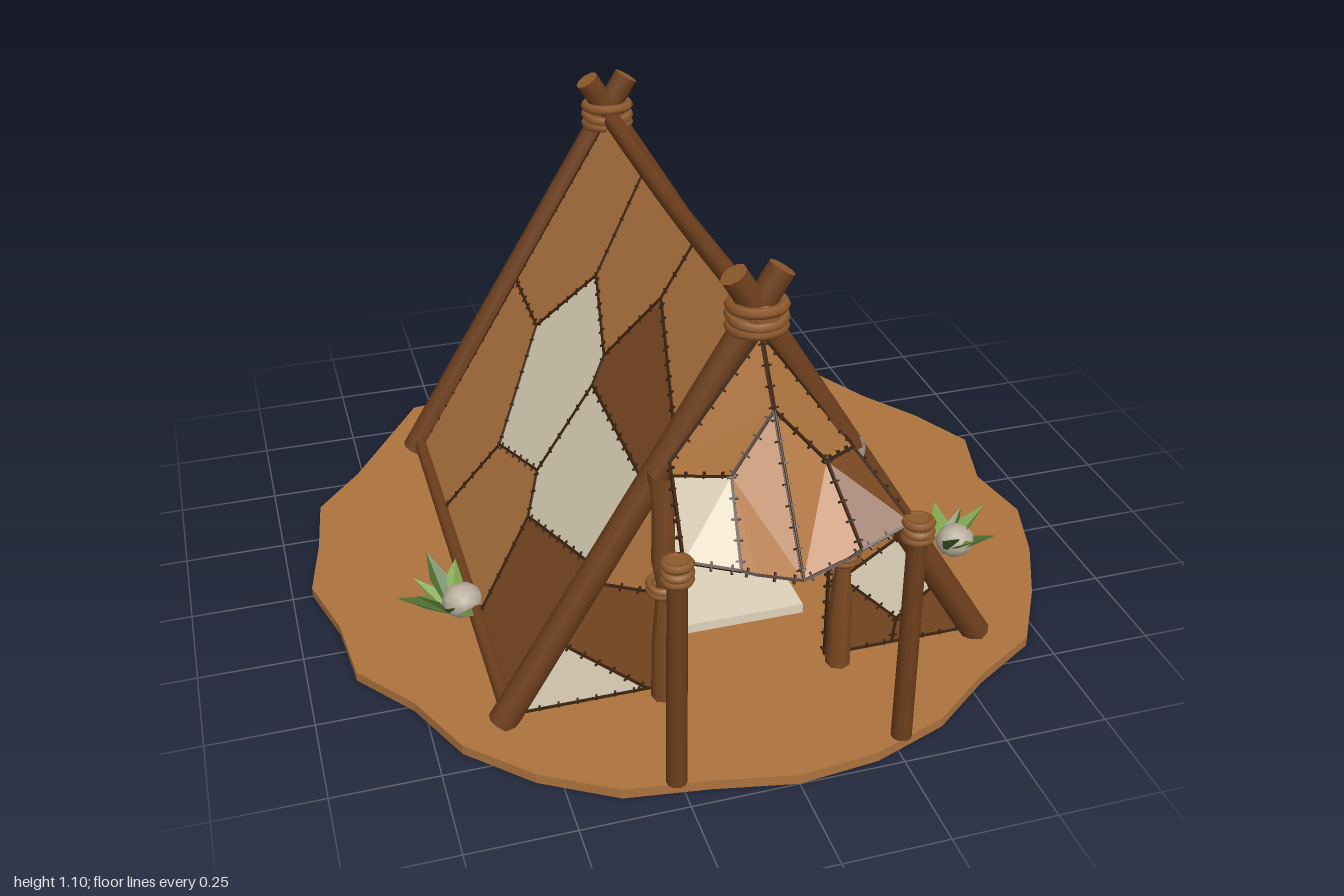
import * as THREE from 'three';
import { mergeGeometries } from 'three/addons/utils/BufferGeometryUtils.js';

const V = (x, y, z) => new THREE.Vector3(x, y, z);
const P = (x, y) => new THREE.Vector2(x, y);
const mat = (name, color, side = THREE.FrontSide) => {
  const m = new THREE.MeshStandardMaterial({ color, side });
  m.name = name;
  return m;
};

// Part of a convex outline that lies nearer to seed than to other
const clip = (outline, seed, other) => {
  const n = other.clone().sub(seed), mid = other.clone().lerp(seed, 0.5);
  const dist = p => p.clone().sub(mid).dot(n);
  const out = [];
  outline.forEach((a, i) => {
    const b = outline[(i + 1) % outline.length], da = dist(a), db = dist(b);
    if (da <= 0) out.push(a);
    if (da * db < 0) out.push(a.clone().lerp(b, da / (da - db)));
  });
  return out;
};

export function createModel() {
  const root = new THREE.Group();
  root.name = 'hideTent';
  const D = THREE.DoubleSide;
  const earth = mat('earth', 0xad733e), cream = mat('creamHide', 0xdfd3ba, D), tan = mat('tanHide', 0xb07540, D);
  const dark = mat('darkHide', 0x7c4a23, D), wood = mat('wood', 0x6e3f1d), rope = mat('rope', 0x8f5a2c);
  const thread = mat('seamThread', 0x3c2411), leafA = mat('leafGreen', 0x7aa045, D);
  const leafB = mat('leafDarkGreen', 0x4f7030, D), stone = mat('stone', 0xb8ad9c, D);

  const add = (name, geo, material, parent = root) => {
    const m = new THREE.Mesh(geo, material);
    m.name = name;
    parent.add(m);
    return m;
  };

  // Pole between two points, with paler cut ends
  const pole = (name, a, b, r) => {
    const m = add(name, new THREE.CylinderGeometry(r * 0.94, r * 1.04, a.distanceTo(b), 10), [wood, rope, rope]);
    m.position.copy(a).lerp(b, 0.5);
    m.quaternion.setFromUnitVectors(V(0, 1, 0), b.clone().sub(a).normalize());
  };

  // Stack of rope rings around a vertical axis
  const lashing = (name, x, y, z, r, count, tube) => {
    const rings = [];
    for (let i = 0; i < count; i++) {
      const g = new THREE.TorusGeometry(r, tube, 6, 18).rotateX(Math.PI / 2 + (i % 2 ? 0.08 : -0.08));
      rings.push(g.translate(x, y + i * tube * 1.9, z));
    }
    add(name, mergeGeometries(rings), rope);
  };

  // Sewn hide: the outline is divided into one patch around each seed, with stitched seams between
  const hide = (name, outline, seeds, map) => {
    const g = new THREE.Group();
    g.name = name;
    root.add(g);
    const seams = [], seen = new Set();
    const strip = (p, dir, n, len, w) => {
      const basis = new THREE.Matrix4().makeBasis(dir, n.clone().cross(dir).normalize(), n).setPosition(p);
      seams.push(new THREE.BoxGeometry(len, w, 0.008).applyMatrix4(basis));
    };
    seeds.forEach(([material, u, v], k) => {
      let cell = outline;
      seeds.forEach((o, j) => { if (j !== k) cell = clip(cell, P(u, v), P(o[1], o[2])); });
      const geo = new THREE.ShapeGeometry(new THREE.Shape(cell));
      const pos = geo.attributes.position;
      for (let i = 0; i < pos.count; i++) pos.setXYZ(i, ...map(pos.getX(i), pos.getY(i)).toArray());
      const flat = geo.toNonIndexed();
      flat.computeVertexNormals();
      add(name + 'Patch', flat, material, g);
      const normal = V().fromBufferAttribute(flat.attributes.normal, 0);
      cell.forEach((p, i) => {
        const q = cell[(i + 1) % cell.length];
        const key = [p, q].map(c => c.x.toFixed(3) + ',' + c.y.toFixed(3)).sort().join('|');
        const a = map(p.x, p.y), b = map(q.x, q.y), len = a.distanceTo(b);
        if (seen.has(key) || len < 0.002) return;
        seen.add(key);
        const dir = b.clone().sub(a).normalize();
        const n = normal.clone().addScaledVector(dir, -normal.dot(dir)).normalize();
        const across = n.clone().cross(dir).normalize();
        strip(a.clone().lerp(b, 0.5), dir, n, len, 0.006);
        for (let s = 0.02; s < len; s += 0.045) strip(a.clone().addScaledVector(dir, s), across, n, 0.02, 0.004);
      });
    });
    add(name + 'Seams', mergeGeometries(seams), thread, g);
  };

  // Ground slab with an uneven rim
  const radii = [1.02, .96, 1.01, .95, .93, .96, .92, .94, .97, .9, .95, .95, .96, .99, .96, .99,
    1, 1, .98, 1.01, 1, .98, .93, .96, .92, .95, .93, .96, .92, .94, 1, .93];
  const rim = radii.map((r, i) => {
    const a = (i - 1) * Math.PI / 16;
    return P(r * Math.sin(a), r * Math.cos(a));
  });
  add('ground', new THREE.ExtrudeGeometry(new THREE.Shape(rim), { depth: 0.025, bevelEnabled: false }).rotateX(-Math.PI / 2), earth);

  // Crossed end poles and their lashings
  for (const z of [0.64, -0.6]) {
    for (const s of [-1, 1]) pole('endPole', V(s * 0.59, 0.025, z), V(-s * 0.055, 1.085, z + s * 0.003), 0.034);
    lashing('ridgeLashing', 0, 0.96, z, 0.058, 3, 0.013);
  }

  // Ridge pole, slightly sagging, with end caps
  const ridge = new THREE.CatmullRomCurve3([V(0, 0.995, 0.7), V(0, 0.975, 0), V(0, 0.985, -0.67)]);
  add('ridgePole', new THREE.TubeGeometry(ridge, 20, 0.024, 8), wood);
  for (const [y, z, turn] of [[0.995, 0.7, 0], [0.985, -0.67, Math.PI]]) {
    add('ridgeEnd', new THREE.CircleGeometry(0.024, 8).rotateY(turn).translate(0, y, z), rope);
    add('ridgeEndRing', new THREE.TorusGeometry(0.025, 0.008, 6, 14).translate(0, y, z - Math.sign(z) * 0.01), rope);
  }
  for (const s of [-1, 1]) pole('bottomRail', V(s * 0.575, 0.05, 0.64), V(s * 0.575, 0.05, -0.6), 0.018);

  // Sloping side hides, laid out as (z, y)
  const side = [P(.61, .05), P(.61, .98), P(-.57, .98), P(-.57, .05)];
  const slope = s => (z, y) => V(s * 0.58 * (0.99 - y) / 0.96, y, z);
  hide('plusSideHide', side, [
    [tan, .4, .85], [tan, 0, .84], [dark, -.38, .87], [cream, .42, .58], [cream, -.03, .6], [cream, .02, .43],
    [cream, -.43, .61], [dark, .39, .33], [tan, -.36, .37], [tan, .02, .2], [cream, .36, .12], [cream, -.38, .13],
  ], slope(1));
  hide('minusSideHide', side, [
    [tan, -.37, .3], [tan, -.36, .76], [tan, .05, .87], [cream, -.06, .52], [tan, .05, .12],
    [cream, .36, .48], [dark, .36, .7], [tan, .42, .87], [dark, .44, .19],
  ], slope(-1));

  // Back wall
  hide('backHide', [P(-.565, .03), P(.565, .03), P(0, .97)], [
    [cream, 0, .7], [tan, .25, .38], [cream, -.08, .36], [dark, .28, .12], [cream, -.15, .1], [dark, -.42, .1],
  ], (x, y) => V(x, y, -0.585));

  // Front walls around the open doorway
  const front = (x, y) => V(x, y, 0.625);
  hide('frontMinusHide', [P(-.565, .03), P(-.2, .03), P(-.2, .65)],
    [[cream, -.44, .07], [dark, -.31, .22], [tan, -.23, .42]], front);
  hide('frontPlusHide', [P(.565, .03), P(.2, .03), P(.2, .65)],
    [[dark, .48, .08], [cream, .38, .2], [tan, .25, .4], [dark, .28, .1]], front);
  hide('frontTopHide', [P(0, .97), P(-.2, .65), P(0, .6), P(.2, .65)], [[tan, -.08, .75], [dark, .08, .75]], front);

  // Porch awning in two halves: peaked at the tent, nearly level at the posts
  for (const s of [-1, 1]) {
    hide('awningHide', [P(0, 0), P(0, 1.12), P(.4, 1.1), P(1, 1), P(1, 0)],
      [[tan, .4, .15], [tan, .2, .75], [s < 0 ? cream : dark, .78, .7]],
      (a, t) => V(s * a * (0.2 + 0.05 * t), (0.95 - 0.28 * a) * (1 - t) + (0.57 + 0.03 * a) * t, 0.67 + 0.265 * t));
  }

  // Porch posts and tied door curtains
  const curtain = (x, ...pts) => new THREE.LatheGeometry(pts.map(p => P(...p)), 7).translate(x, 0, 0.672);
  for (const s of [-1, 1]) {
    const x = s * 0.215;
    pole('porchPost', V(s * 0.265, 0.025, 0.94), V(s * 0.265, 0.61, 0.94), 0.023);
    lashing('porchLashing', s * 0.265, 0.565, 0.94, 0.027, 3, 0.01);
    add('curtainTop', curtain(x, [.016, .35], [.028, .42], [.026, .54], [.036, .65]), s > 0 ? stone : dark);
    add('curtainBottom', curtain(x, [.03, .04], [.028, .2], [.016, .35]), dark);
    lashing('curtainTie', x, 0.34, 0.672, 0.033, 2, 0.009);
  }

  // Sleeping mat and folded bedding
  add('sleepingMat', new THREE.BoxGeometry(0.42, 0.025, 0.9).translate(0, 0.0375, 0), cream);
  add('bedding', new THREE.BoxGeometry(0.17, 0.05, 0.16).translate(0.02, 0.075, -0.25), cream);

  // Folded leaf blade rising from the origin toward +x
  const leafGeo = (len, lift) => {
    const g = new THREE.BufferGeometry();
    const w = len * 0.2, h = len * lift;
    g.setAttribute('position', new THREE.Float32BufferAttribute([
      0, 0, 0, len * 0.5, h * 0.65, w, len, h, 0,
      0, 0, 0, len, h, 0, len * 0.5, h * 0.65, -w], 3));
    g.computeVertexNormals();
    return g;
  };

  // Leafy tufts with a pebble
  const tuft = (x, z, size, facing) => {
    const g = new THREE.Group();
    g.name = 'leafTuft';
    g.position.set(x, 0.025, z);
    root.add(g);
    for (let i = 0; i < 7; i++) {
      const leaf = add('leaf', leafGeo(size * (1 - 0.12 * (i % 3)), [0.6, 1.1, 0.9][i % 3]), i % 2 ? leafB : leafA, g);
      leaf.rotation.y = facing + (i - 3) * 0.62;
    }
    const rock = add('pebble', new THREE.IcosahedronGeometry(size * 0.4, 1), stone, g);
    rock.scale.set(1, 0.85, 0.9);
    rock.position.set(0.03, size * 0.3, 0);
  };
  tuft(0.65, 0.32, 0.13, -0.5);
  tuft(-0.63, 0.21, 0.13, Math.PI);
  tuft(-0.46, -0.63, 0.09, Math.PI / 2);

  return root;
}
